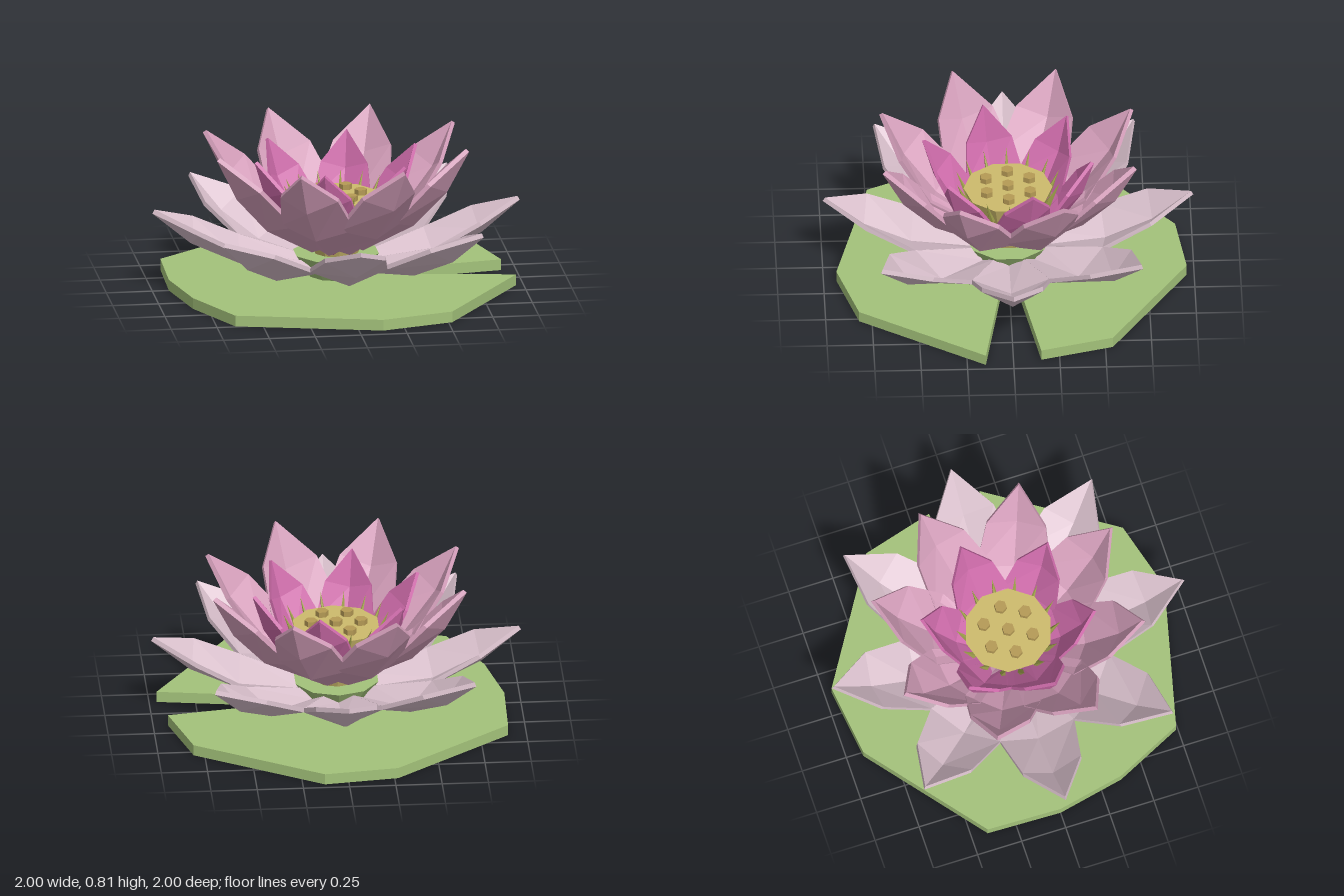
import * as THREE from 'three';

const mat = (name, color) => {
  const m = new THREE.MeshStandardMaterial({ color });
  m.name = name;
  return m;
};

// Gives every face its own normal for a faceted look
function facet(geo) {
  const g = geo.index ? geo.toNonIndexed() : geo;
  g.computeVertexNormals();
  return g;
}

function add(parent, name, geo, material) {
  const mesh = new THREE.Mesh(geo, material);
  mesh.name = name;
  parent.add(mesh);
  return mesh;
}

// V-shaped petal running along +x: keel (a, b), rim (ea, eb), half width w, thickness direction n
const STATIONS = [
  { a: 0, b: 0, ea: -0.005, eb: 0.04, w: 0.08, n: [-0.1, 1] },
  { a: 0.33, b: 0.04, ea: 0.31, eb: 0.12, w: 0.21, n: [-0.25, 0.97] },
  { a: 0.59, b: 0.16, ea: 0.57, eb: 0.245, w: 0.165, n: [-0.5, 0.87] },
  { a: 0.8, b: 0.335, ea: 0.8, eb: 0.335, w: 0, n: [-0.5, 0.87] },
];

function petalGeometry(scale, tilt, thickness = 0.025) {
  const pos = [], idx = [];
  for (const { a, b, ea, eb, w, n } of STATIONS) {
    const low = [[ea, eb, -w], [a, b, 0], [ea, eb, w]];
    const high = low.map(([x, y, z]) => [x + n[0] * thickness, y + n[1] * thickness, z]).reverse();
    for (const p of [...low, ...high]) pos.push(...p);
  }
  for (let i = 0; i < STATIONS.length - 1; i++) {
    for (let j = 0; j < 6; j++) {
      const p = i * 6 + j, p1 = i * 6 + (j + 1) % 6;
      idx.push(p, p + 6, p1, p + 6, p1 + 6, p1);
    }
  }
  idx.push(0, 1, 4, 0, 4, 5, 1, 2, 3, 1, 3, 4); // root cap
  const g = new THREE.BufferGeometry();
  g.setAttribute('position', new THREE.Float32BufferAttribute(pos, 3));
  g.setIndex(idx);
  g.scale(scale, scale, scale);
  g.rotateZ(tilt);
  return facet(g);
}

export function createModel() {
  const model = new THREE.Group();
  model.name = 'waterLily';

  const green = mat('leafGreen', 0xa3c27a);
  const pale = mat('palePink', 0xd9c0cc);
  const pink = mat('midPink', 0xd6a0bc);
  const deep = mat('deepPink', 0xcf6cab);
  const yellow = mat('podYellow', 0xcdbb6c);
  const brown = mat('seedBrown', 0xb59a55);
  const olive = mat('stamenOlive', 0xa3a44e);

  // Notched lily pad, outline as x, z
  const outline = [[0, 0], [0.96, 0.15], [0.52, 0.82], [0.13, 0.93], [-0.65, 0.74], [-0.83, 0.37],
    [-0.91, 0], [-0.9, -0.41], [-0.27, -0.91], [0.13, -0.96], [0.81, -0.54], [0.92, -0.15]];
  const shape = new THREE.Shape(outline.map(([x, z]) => new THREE.Vector2(x, -z)));
  const pad = new THREE.ExtrudeGeometry(shape, { depth: 0.06, bevelEnabled: false });
  pad.rotateX(-Math.PI / 2);
  add(model, 'lilyPad', facet(pad), green);

  // Green base under the flower
  const base = new THREE.CylinderGeometry(0.235, 0.15, 0.13, 10);
  base.translate(0, 0.12, 0);
  add(model, 'flowerBase', facet(base), green);

  // Three rings of petals
  const deg = Math.PI / 180;
  const rings = [
    { name: 'outerPetal', count: 8, start: 0, r: 0.2, y: 0.1, scale: 1, tilt: 0, m: pale },
    { name: 'middlePetal', count: 8, start: 22.5, r: 0.15, y: 0.2, scale: 0.97, tilt: 22.5, m: pink },
    { name: 'innerPetal', count: 6, start: 15, r: 0.1, y: 0.18, scale: 0.77, tilt: 33, m: deep },
  ];
  for (const { name, count, start, r, y, scale, tilt, m } of rings) {
    const geo = petalGeometry(scale, tilt * deg);
    geo.translate(r, y, 0);
    const ring = new THREE.Group();
    ring.name = name + 's';
    for (let i = 0; i < count; i++) {
      add(ring, name, geo, m).rotation.y = (start + (i * 360) / count) * deg;
    }
    model.add(ring);
  }

  // Seed pod
  const pod = new THREE.CylinderGeometry(0.24, 0.12, 0.32, 10);
  pod.translate(0, 0.34, 0);
  add(model, 'seedPod', facet(pod), yellow);

  // Seeds: one in the middle and six around it
  const seed = new THREE.CylinderGeometry(0.035, 0.035, 0.04, 6);
  seed.rotateY(Math.PI / 6);
  const seedGeo = facet(seed);
  for (let i = 0; i < 7; i++) {
    const r = i === 0 ? 0 : 0.135, t = i * 60 * deg;
    add(model, 'seed', seedGeo, brown).position.set(r * Math.cos(t), 0.51, r * Math.sin(t));
  }

  // Pointed stamens leaning outward around the pod
  const spike = new THREE.ConeGeometry(0.018, 0.17, 5);
  spike.rotateZ(-24 * deg);
  spike.translate(0.25, 0.49, 0);
  const spikeGeo = facet(spike);
  for (let i = 0; i < 14; i++) {
    add(model, 'stamen', spikeGeo, olive).rotation.y = (i / 14) * Math.PI * 2;
  }

  return model;
}
